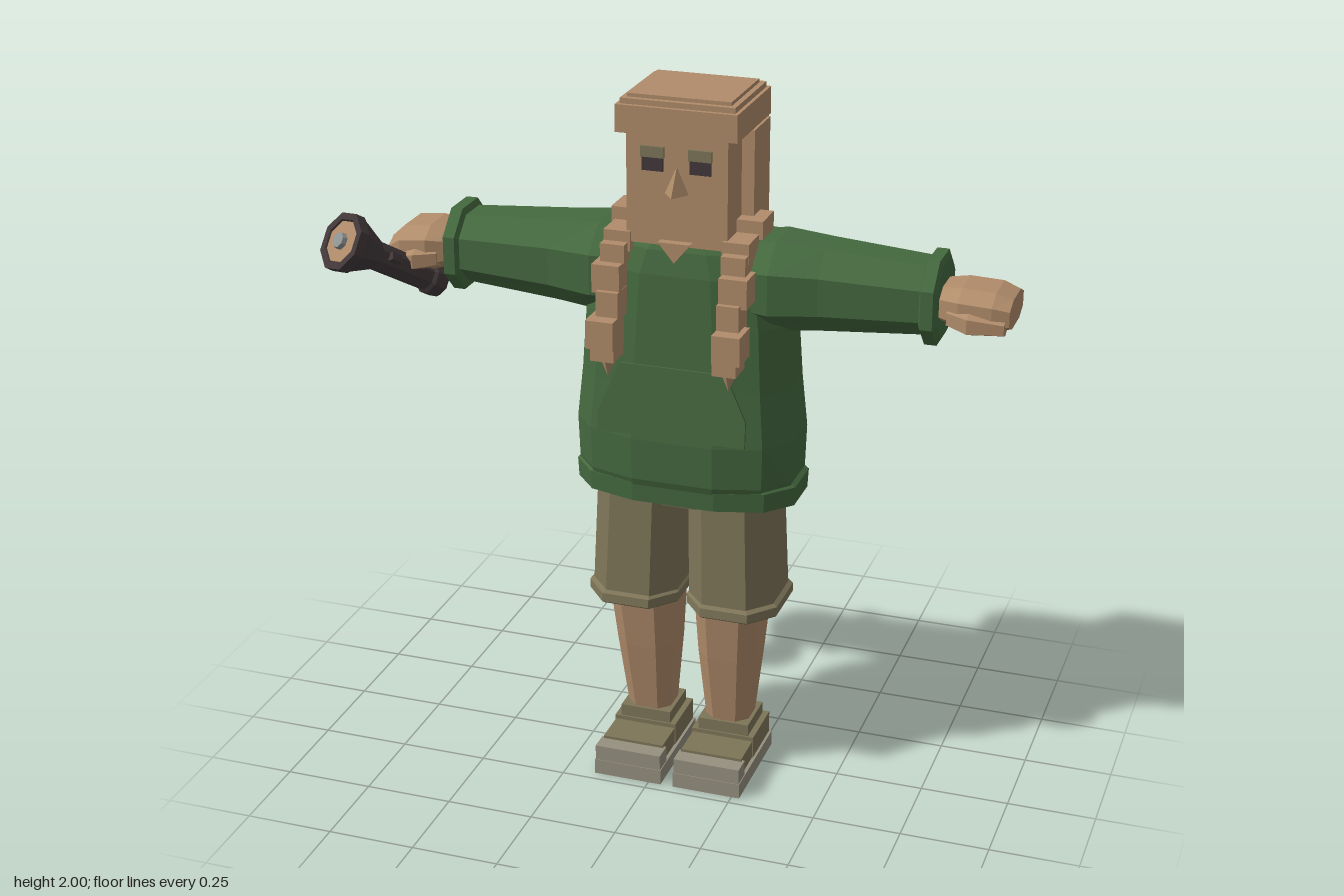
import * as THREE from 'three';

const mat = (name, color) => {
  const m = new THREE.MeshStandardMaterial({ color, flatShading: true });
  m.name = name;
  return m;
};

// Closed faceted skin through sections [along, cu, cv, ru, rv].
// axis 'y': u = x, v = z.  axis 'x': u = z, v = y.
function loft(sections, n, axis = 'y', e = 0.75) {
  const pos = [], idx = [];
  const k = Math.pow(Math.cos(Math.PI / n), e);
  const sp = (v) => Math.sign(v) * Math.pow(Math.abs(v), e) / k;
  const put = (a, u, v) => (axis === 'y' ? pos.push(u, a, v) : pos.push(a, v, u));
  for (const [a, cu, cv, ru, rv] of sections) {
    for (let i = 0; i < n; i++) {
      const t = ((i + 0.5) / n) * Math.PI * 2;
      put(a, cu + ru * sp(Math.cos(t)), cv + rv * sp(Math.sin(t)));
    }
  }
  const last = sections.length - 1;
  for (const s of [sections[0], sections[last]]) put(s[0], s[1], s[2]);
  const c0 = n * (last + 1);
  for (let i = 0; i < n; i++) {
    const j = (i + 1) % n;
    for (let r = 0; r < last; r++) {
      const a = r * n + i, b = r * n + j;
      idx.push(a, a + n, b + n, a, b + n, b);
    }
    idx.push(c0, i, j, c0 + 1, last * n + j, last * n + i);
  }
  const g = new THREE.BufferGeometry();
  g.setAttribute('position', new THREE.Float32BufferAttribute(pos, 3));
  g.setIndex(idx);
  g.computeVertexNormals();
  return g;
}

// Same sections on either side along x
const sided = (s, list) =>
  s > 0 ? list : list.map(([x, ...r]) => [-x, ...r]).reverse();

export function createModel() {
  const skin = mat('skin', 0xb08c6a);
  const green = mat('hoodieGreen', 0x45693f);
  const khaki = mat('khaki', 0x7e7558);
  const sole = mat('soleGrey', 0x969080);
  const dark = mat('darkBrown', 0x42383a);
  const metal = mat('bulbGrey', 0x8f9492);

  const model = new THREE.Group();
  model.name = 'figure';
  const body = new THREE.Group();
  body.name = 'body';
  body.position.x = 0.055;
  model.add(body);

  const add = (name, geo, m, x = 0, y = 0, z = 0, parent = body) => {
    const mesh = new THREE.Mesh(geo, m);
    mesh.name = name;
    mesh.position.set(x, y, z);
    parent.add(mesh);
    return mesh;
  };
  // Box given by its centre x and its y and z ranges
  const box = (name, m, x, w, y0, y1, z0, z1) =>
    add(name, new THREE.BoxGeometry(w, y1 - y0, z1 - z0), m, x, (y0 + y1) / 2, (z0 + z1) / 2);
  const plate = (name, m, pts, depth, z) => {
    const shape = new THREE.Shape(pts.map(([x, y]) => new THREE.Vector2(x, y)));
    return add(name, new THREE.ExtrudeGeometry(shape, { depth, bevelEnabled: false }), m, 0, 0, z);
  };

  // Head and hair
  box('head', skin, 0, 0.28, 1.6, 1.92, -0.14, 0.13);
  box('neck', skin, 0, 0.2, 1.5, 1.62, -0.1, 0.08);
  box('hairCap', skin, 0, 0.335, 1.9, 1.975, -0.158, 0.14);
  box('hairStep', skin, 0, 0.315, 1.97, 1.99, -0.148, 0.128);
  box('hairTop', skin, 0, 0.285, 1.98, 2.0, -0.13, 0.112);
  box('hairBack', skin, 0, 0.325, 1.62, 1.92, -0.156, -0.1);
  const nose = add('nose', new THREE.ConeGeometry(0.047, 0.075, 4), skin, 0, 1.782, 0.13);
  nose.scale.x = 0.7;
  plate('neckOpening', skin, [[-0.045, 1.615], [0, 1.56], [0.045, 1.615]], 0.035, 0.12);

  // Hoodie
  add('hoodieBody', loft([
    [0.87, 0, -0.01, 0.295, 0.165],
    [0.93, 0, -0.006, 0.308, 0.18],
    [1.05, 0, -0.005, 0.312, 0.183],
    [1.2, 0, -0.005, 0.297, 0.17],
    [1.38, 0, -0.005, 0.285, 0.16],
    [1.52, 0, -0.01, 0.265, 0.158],
    [1.585, 0, -0.012, 0.22, 0.145],
    [1.615, 0, -0.015, 0.15, 0.13],
  ], 12), green);
  add('hoodieHem', loft([
    [0.86, 0, -0.012, 0.315, 0.177],
    [0.915, 0, -0.012, 0.318, 0.18],
    [0.93, 0, -0.01, 0.3, 0.17],
  ], 12), green);
  add('hood', loft([
    [1.24, 0, -0.18, 0.12, 0.02],
    [1.31, 0, -0.19, 0.21, 0.045],
    [1.42, 0, -0.205, 0.25, 0.065],
    [1.52, 0, -0.23, 0.295, 0.08],
    [1.53, 0, -0.23, 0.3, 0.085],
    [1.51, 0, -0.215, 0.25, 0.05],
  ], 12), green);
  const pocket = plate('frontPocket', green,
    [[-0.21, 1.0], [0.21, 1.0], [0.21, 1.075], [0.15, 1.2], [-0.15, 1.2], [-0.21, 1.055]], 0.008, 0);
  pocket.position.set(0, 0.07, 0.265);
  pocket.rotation.x = -0.087;

  add('shortsHip', loft([[0.83, 0, 0, 0.2, 0.11], [0.9, 0, 0, 0.24, 0.125]], 8), khaki);

  for (const s of [-1, 1]) {
    const side = s > 0 ? 'left' : 'right';

    // Hair beside the face, brow and eye
    box(side + 'SideHair', skin, s * 0.155, 0.04, 1.58, 1.9, -0.13, 0.01);
    box(side + 'Eyelid', khaki, s * 0.066, 0.064, 1.84, 1.87, 0.13, 0.139);
    box(side + 'Eye', dark, s * 0.066, 0.058, 1.803, 1.84, 0.13, 0.136);

    // Braid: [offset x, width, y0, y1, z0, z1]
    const braid = [
      [0.17, 0.085, 1.615, 1.665, -0.05, 0.05], [0.165, 0.075, 1.575, 1.63, 0.0, 0.14],
      [0.168, 0.068, 1.55, 1.6, 0.1, 0.17], [0.177, 0.078, 1.47, 1.55, 0.12, 0.2],
      [0.168, 0.062, 1.4, 1.48, 0.14, 0.215], [0.176, 0.078, 1.33, 1.41, 0.165, 0.255],
      [0.17, 0.066, 1.295, 1.33, 0.17, 0.25],
    ];
    for (const [x, ...r] of braid) box(side + 'Braid', skin, s * x, ...r);
    const tip = add(side + 'BraidTip', new THREE.ConeGeometry(0.028, 0.065, 4), skin, s * 0.17, 1.27, 0.205);
    tip.rotation.x = Math.PI;

    // Sleeve, cuff and hand
    add(side + 'Sleeve', loft(sided(s, [
      [0.1, -0.012, 1.49, 0.12, 0.11], [0.25, -0.015, 1.49, 0.145, 0.125],
      [0.38, -0.018, 1.49, 0.12, 0.115], [0.66, -0.02, 1.49, 0.102, 0.095],
    ]), 8, 'x', 0.9), green);
    add(side + 'Cuff', loft(sided(s, [
      [0.648, -0.02, 1.487, 0.105, 0.1], [0.655, -0.02, 1.487, 0.12, 0.117],
      [0.688, -0.02, 1.487, 0.12, 0.117], [0.696, -0.02, 1.487, 0.1, 0.1],
    ]), 8, 'x', 0.9), green);
    const hand = s > 0
      ? [[0.68, -0.02, 1.485, 0.075, 0.045], [0.75, -0.015, 1.485, 0.1, 0.055],
        [0.84, -0.015, 1.483, 0.103, 0.053], [0.885, -0.015, 1.48, 0.09, 0.04]]
      : [[0.68, -0.02, 1.485, 0.075, 0.05], [0.75, -0.015, 1.485, 0.1, 0.065],
        [0.83, -0.02, 1.475, 0.1, 0.065], [0.875, -0.025, 1.455, 0.08, 0.045]];
    add(side + 'Hand', loft(sided(s, hand), 8, 'x'), skin);
    add(side + 'Thumb', loft(sided(s, [
      [0.72, 0.05, 1.465, 0.03, 0.025], [0.78, 0.075, 1.46, 0.034, 0.03],
      [s > 0 ? 0.875 : 0.83, 0.07, 1.455, 0.022, 0.02],
    ]), 6, 'x'), skin);

    // Shorts leg, shin, sock and shoe
    add(side + 'ShortsLeg', loft([
      [0.53, s * 0.143, 0, 0.125, 0.142], [0.88, s * 0.133, 0, 0.12, 0.13]], 8), khaki);
    add(side + 'ShortsCuff', loft([
      [0.518, s * 0.145, -0.003, 0.128, 0.148], [0.525, s * 0.145, -0.003, 0.133, 0.157],
      [0.55, s * 0.145, -0.003, 0.133, 0.155], [0.56, s * 0.143, -0.003, 0.122, 0.14]], 8), khaki);
    add(side + 'Shin', loft([
      [0.12, s * 0.118, -0.013, 0.062, 0.06], [0.36, s * 0.122, -0.003, 0.085, 0.09],
      [0.54, s * 0.127, 0.003, 0.098, 0.108]], 8), skin);
    const sx = s * 0.118;
    box(side + 'Sock', khaki, sx, 0.15, 0.09, 0.145, -0.085, 0.06);
    box(side + 'ShoeHeel', khaki, sx, 0.185, 0.04, 0.11, -0.097, 0.065);
    box(side + 'ShoeTop', khaki, sx, 0.18, 0.04, 0.098, 0.06, 0.17);
    box(side + 'ShoeToe', sole, sx, 0.195, 0.03, 0.09, 0.16, 0.218);
    box(side + 'ShoeSole', sole, sx, 0.2, 0, 0.045, -0.1, 0.22);
  }

  // Fingers curled around the torch
  for (let i = 0; i < 3; i++) {
    const f = box('curledFinger', skin, -0.85 + i * 0.022, 0.05, 1.385, 1.46, -0.085 + i * 0.05, -0.04 + i * 0.05);
    f.rotation.y = 0.5;
  }

  // Torch, modelled along +y then aimed from tail to lens
  const torch = new THREE.Group();
  torch.name = 'torch';
  const tail = new THREE.Vector3(-0.7, 1.37, 0.0);
  const axis = new THREE.Vector3(-0.867, 1.553, 0.252).sub(tail);
  const len = axis.length();
  torch.position.copy(tail);
  torch.quaternion.setFromUnitVectors(new THREE.Vector3(0, 1, 0), axis.normalize());
  model.add(torch);
  const profile = [[0, -0.01], [0.04, -0.01], [0.047, 0], [0.047, 0.035], [0.04, 0.045], [0.042, len - 0.12],
    [0.078, len - 0.04], [0.086, len - 0.03], [0.086, len], [0.066, len], [0.06, len - 0.012], [0, len - 0.012]];
  add('torchCase', new THREE.LatheGeometry(profile.map(([r, y]) => new THREE.Vector2(r, y)), 8), dark, 0, 0, 0, torch);
  add('torchReflector', new THREE.CylinderGeometry(0.062, 0.062, 0.008, 8), skin, 0, len - 0.008, 0, torch);
  add('torchBulb', new THREE.CylinderGeometry(0.022, 0.026, 0.02, 8), metal, 0, len, 0, torch);
  add('torchButton', new THREE.BoxGeometry(0.022, 0.035, 0.022), dark, 0.042, len - 0.16, 0.01, torch);

  return model;
}
